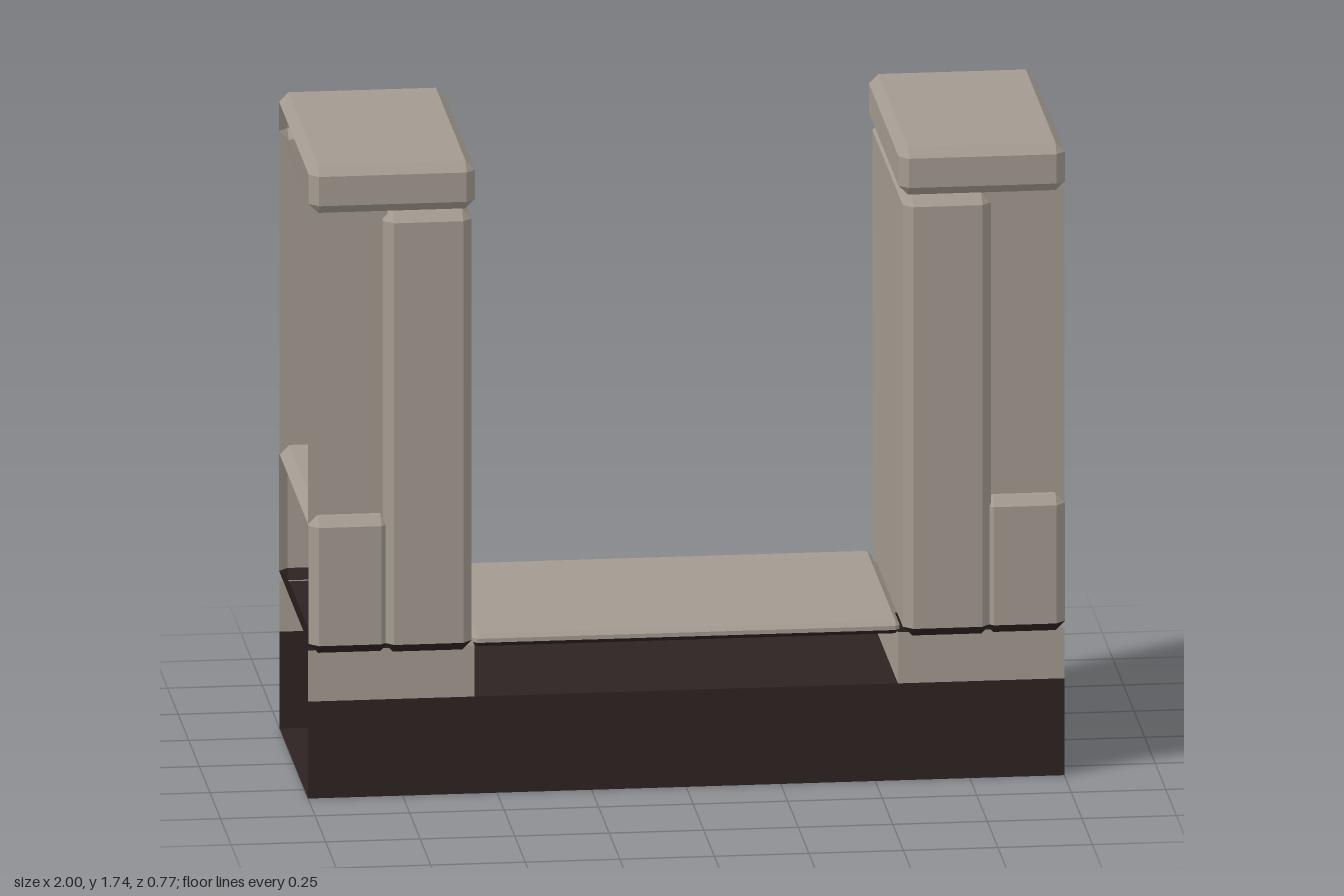
import * as THREE from 'three';
import { ConvexGeometry } from 'three/addons/geometries/ConvexGeometry.js';

const stone = new THREE.MeshStandardMaterial({ color: 0xa39b90, side: THREE.DoubleSide });
stone.name = 'warm grey stone';
const dark = new THREE.MeshStandardMaterial({ color: 0x2d2322, side: THREE.DoubleSide });
dark.name = 'dark brown base';

// Box symmetric in z with chamfered edges, as separate flat triangles
function chamferBox(x0, x1, y0, y1, z, c) {
  const w = (x1 - x0) / 2, h = (y1 - y0) / 2;
  let geo;
  if (c === 0) {
    geo = new THREE.BoxGeometry(w * 2, h * 2, z * 2).toNonIndexed();
  } else {
    const points = [];
    for (const sx of [-1, 1]) for (const sy of [-1, 1]) for (const sz of [-1, 1]) {
      points.push(
        new THREE.Vector3(sx * w, sy * (h - c), sz * (z - c)),
        new THREE.Vector3(sx * (w - c), sy * h, sz * (z - c)),
        new THREE.Vector3(sx * (w - c), sy * (h - c), sz * z));
    }
    geo = new ConvexGeometry(points);
  }
  return geo.translate((x0 + x1) / 2, (y0 + y1) / 2, 0);
}

// Keep only the triangles whose face normal passes the test
function keepFaces(geo, test) {
  const pos = geo.attributes.position;
  const tri = new THREE.Triangle(), n = new THREE.Vector3();
  const out = [];
  for (let i = 0; i < pos.count; i += 3) {
    tri.setFromAttributeAndIndices(pos, i, i + 1, i + 2);
    tri.getNormal(n);
    if (test(n)) for (const p of [tri.a, tri.b, tri.c]) out.push(p.x, p.y, p.z);
  }
  const result = new THREE.BufferGeometry();
  result.setAttribute('position', new THREE.Float32BufferAttribute(out, 3));
  result.computeVertexNormals();
  return result;
}

function addMesh(parent, name, geo, material) {
  const mesh = new THREE.Mesh(geo, material);
  mesh.name = name;
  parent.add(mesh);
}

// Stone block with a dark underside
function addBlock(parent, name, geo, keep = () => true) {
  addMesh(parent, name, keepFaces(geo, n => keep(n) && n.y > -0.5), stone);
  addMesh(parent, name + 'Underside', keepFaces(geo, n => keep(n) && n.y <= -0.5), dark);
}

function makePillar(side) {
  const pillar = new THREE.Group();
  pillar.name = side > 0 ? 'leftPillar' : 'rightPillar';
  const block = (a, b, y0, y1, z, c) =>
    chamferBox(Math.min(side * a, side * b), Math.max(side * a, side * b), y0, y1, z, c);
  const notOuter = n => n.x * side < 0.99;

  // Foot between base and pillar, open at the outer end
  addMesh(pillar, 'foot', keepFaces(block(0.56, 1, 0.265, 0.405, 0.335, 0),
    n => notOuter(n) && Math.abs(n.y) < 0.5), stone);
  // Tall pilaster at the inner side
  addBlock(pillar, 'pilaster', block(0.57, 0.803, 0.402, 1.605, 0.385, 0.025));
  // Recessed front and back walls
  addMesh(pillar, 'recessedWalls', keepFaces(block(0.79, 1, 0.75, 1.605, 0.335, 0),
    n => Math.abs(n.z) > 0.5), stone);
  // Low plinth, open at the outer end
  addBlock(pillar, 'plinth', block(0.785, 1, 0.402, 0.775, 0.375, 0.025), notOuter);
  // Cap, open below and at the outer end
  addMesh(pillar, 'cap', keepFaces(block(0.56, 1, 1.605, 1.735, 0.375, 0.025),
    n => notOuter(n) && n.y > -0.99), stone);
  return pillar;
}

export function createModel() {
  const model = new THREE.Group();
  model.name = 'wallOpening';

  // Base trough with open ends, closed across the middle
  addMesh(model, 'baseShell', keepFaces(chamferBox(-1, 1, 0, 0.265, 0.335, 0),
    n => Math.abs(n.x) < 0.5 && n.y < 0.5), dark);
  addMesh(model, 'baseMiddle', keepFaces(chamferBox(-0.56, 0.56, 0, 0.265, 0.335, 0),
    n => Math.abs(n.x) > 0.5 || n.y > 0.5), dark);

  // Sill slab spanning the opening
  addBlock(model, 'sill', chamferBox(-0.565, 0.565, 0.402, 0.437, 0.345, 0.012));

  for (const side of [-1, 1]) model.add(makePillar(side));
  return model;
}
